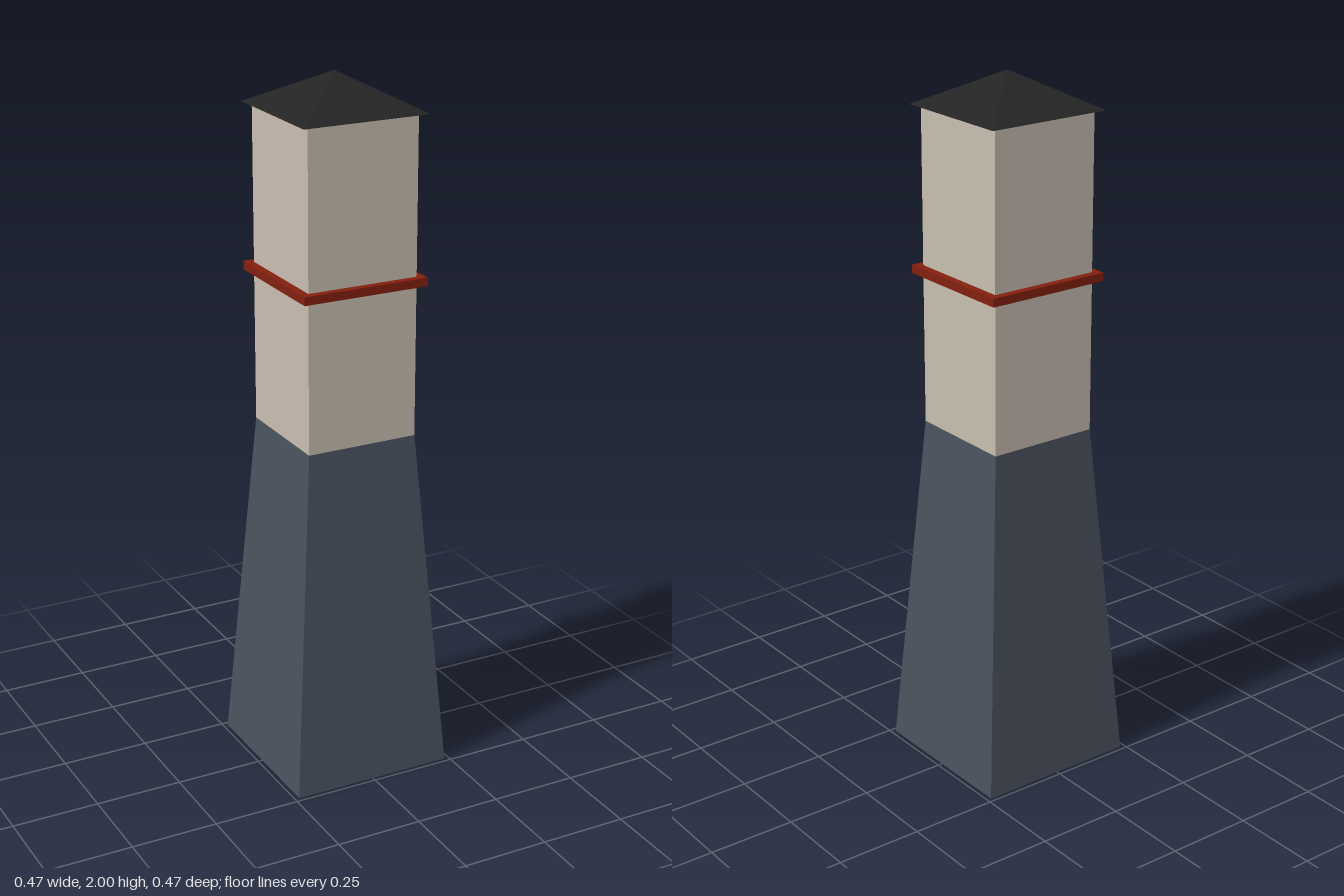
import * as THREE from 'three';

const paint = (name, color, side = THREE.DoubleSide) => {
  const m = new THREE.MeshStandardMaterial({ color, side, flatShading: true });
  m.name = name;
  return m;
};

// Square, optionally tapered section given by half-widths and heights
function squareSection(name, bottomHalf, topHalf, y0, y1, open, material) {
  const r = Math.SQRT2;
  const geo = new THREE.CylinderGeometry(topHalf * r, bottomHalf * r, y1 - y0, 4, 1, open, Math.PI / 4);
  const mesh = new THREE.Mesh(geo, material);
  mesh.name = name;
  mesh.position.y = (y0 + y1) / 2;
  return mesh;
}

export function createModel() {
  const slate = paint('slate blue', 0x49525e);
  const stone = paint('pale stone', 0xc8bdb0);
  const red = paint('dark red', 0x82200f);
  const black = paint('roof black', 0x242424);

  const tower = new THREE.Group();
  tower.name = 'tower';
  tower.add(
    // Hollow tapered base, open underneath
    squareSection('base', 0.237, 0.163, 0, 1, true, slate),
    // Straight upper shaft
    squareSection('shaft', 0.163, 0.163, 1, 1.9, true, stone),
    // Projecting band around the shaft
    squareSection('band', 0.185, 0.185, 1.432, 1.456, false, red),
    // Pyramid roof with small eaves
    squareSection('roof', 0.185, 0, 1.9, 2, false, black)
  );
  return tower;
}
